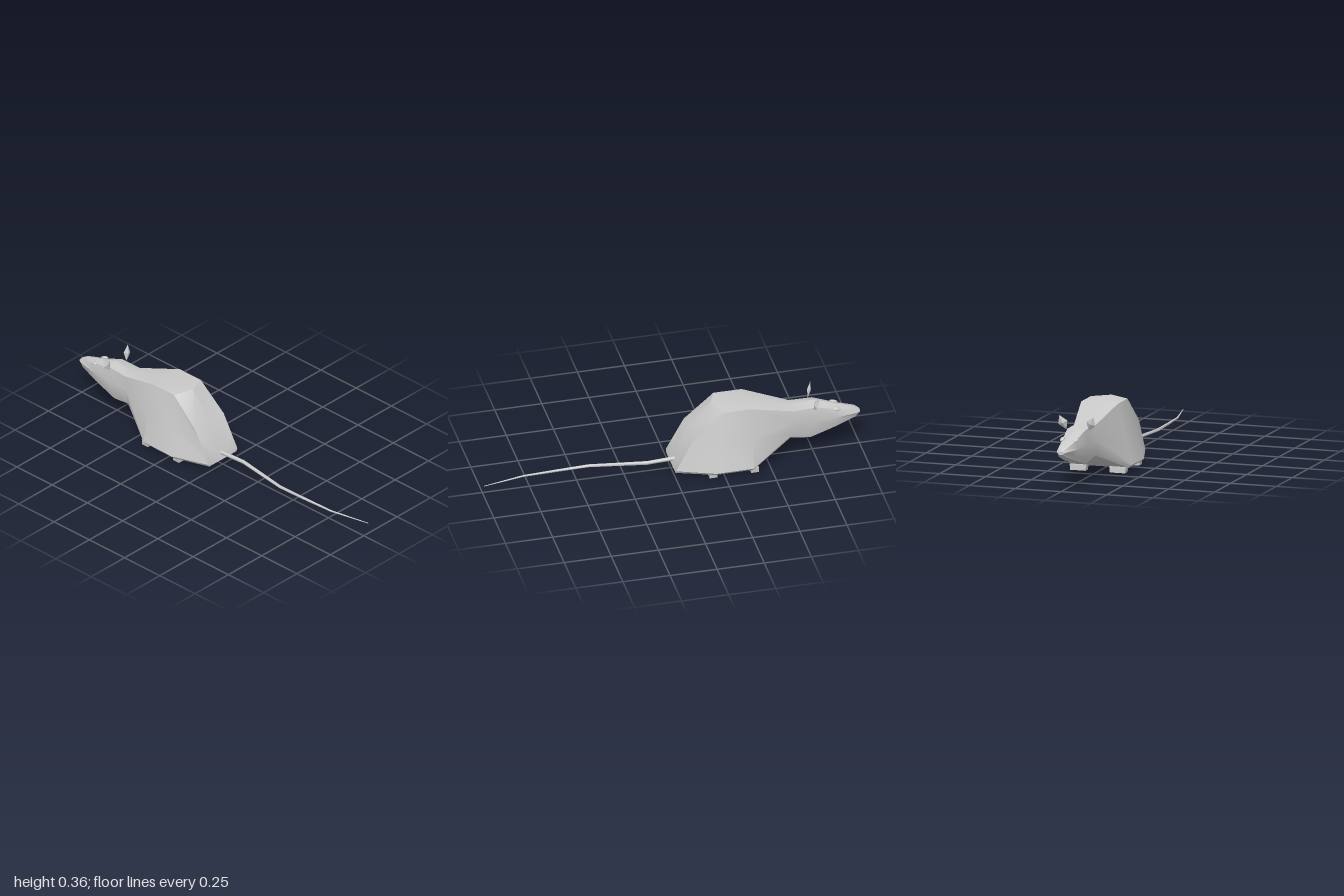
import * as THREE from 'three';
import { toCreasedNormals } from 'three/addons/utils/BufferGeometryUtils.js';

const material = new THREE.MeshStandardMaterial({ color: 0xcccccc });
const flatMaterial = new THREE.MeshStandardMaterial({ color: 0xcccccc, flatShading: true });

// Skin a series of closed rings of [x, y, z] points running along +x, with capped ends
function loft(rings, crease) {
  const pos = [];
  const tri = (a, b, c) => pos.push(...a, ...b, ...c);
  const n = rings[0].length;
  for (let i = 0; i < rings.length - 1; i++) {
    for (let j = 0; j < n; j++) {
      const k = (j + 1) % n;
      const [a, b, c, d] = [rings[i][j], rings[i][k], rings[i + 1][j], rings[i + 1][k]];
      tri(a, c, b);
      tri(b, c, d);
    }
  }
  const first = rings[0], last = rings[rings.length - 1];
  for (let j = 1; j < n - 1; j++) {
    tri(first[0], first[j], first[j + 1]);
    tri(last[0], last[j + 1], last[j]);
  }
  const g = new THREE.BufferGeometry();
  g.setAttribute('position', new THREE.Float32BufferAttribute(pos, 3));
  return toCreasedNormals(g, crease);
}

// Mirror a half profile (bottom centre, up the +z side, to top centre) into a full ring
function mirrorRing(half) {
  const other = half.slice(1, -1).reverse().map(([x, y, z]) => [x, y, -z]);
  return [...half, ...other];
}

// Body section: bottom x, y, half-width; side bulge; top corner x, y, half-width; top centre x, y
function section(xb, yb, wb, bulge, xc, yc, wc, xt, yt) {
  const lift = Math.min(0.015, (yc - yb) * 0.2);
  return mirrorRing([
    [xb, yb, 0],
    [xb, yb, wb * 0.92],
    [xb, yb + lift, wb],
    [(xb + xc) / 2, (yb + lift + yc) / 2, (wb + wc) / 2 + bulge],
    [xc, yc, wc],
    [xt, yt, 0],
  ]);
}

function add(group, name, geometry, mat = material) {
  const mesh = new THREE.Mesh(geometry, mat);
  mesh.name = name;
  group.add(mesh);
  return mesh;
}

export function createModel() {
  const model = new THREE.Group();
  model.name = 'rat';

  // Head and body in one skin, from nose to rump
  const body = [
    section(-1.0, 0.193, 0.012, 0.006, -1.0, 0.208, 0.012, -1.0, 0.212),
    section(-0.975, 0.178, 0.024, 0.01, -0.975, 0.222, 0.022, -0.975, 0.228),
    section(-0.87, 0.142, 0.036, 0.012, -0.87, 0.247, 0.038, -0.87, 0.262),
    section(-0.73, 0.1, 0.045, 0.017, -0.76, 0.283, 0.05, -0.755, 0.299),
    section(-0.62, 0.122, 0.06, 0.004, -0.64, 0.28, 0.056, -0.64, 0.288),
    section(-0.4, 0.024, 0.172, 0, -0.4, 0.357, 0.1, -0.4, 0.364),
    section(-0.2, 0.022, 0.172, 0, -0.25, 0.357, 0.1, -0.21, 0.364),
    section(0.0, 0.03, 0.11, 0, -0.095, 0.218, 0.108, -0.1, 0.23),
  ];
  add(model, 'body', loft(body, 0.55));

  // Tail: tapering, gently waved
  const tail = [
    [-0.03, 0.06, -0.008, 0.011], [0.0, 0.06, -0.01, 0.011], [0.13, 0.06, -0.019, 0.01],
    [0.43, 0.061, 0.025, 0.008], [0.6, 0.06, 0.02, 0.007], [0.78, 0.06, 0.012, 0.005],
    [1.0, 0.06, 0.035 * -1, 0.002],
  ].map(([x, y, z, r]) => Array.from({ length: 8 }, (_, j) => {
    const a = (j / 8) * Math.PI * 2;
    return [x, y - r * Math.cos(a), z + r * Math.sin(a)];
  }));
  add(model, 'tail', loft(tail, 0.9));

  for (const side of [1, -1]) {
    const label = side > 0 ? 'near' : 'far';

    // Ear: thin pointed kite leaning outward
    const ear = add(model, label + 'Ear', new THREE.OctahedronGeometry(1), flatMaterial);
    ear.scale.set(0.011, 0.043, 0.027);
    ear.position.set(-0.752, 0.314, side * 0.077);
    ear.rotation.set(side * 0.4, 0, 0.25);

    // Eye: flattened bead set on the brow
    const eye = add(model, label + 'Eye', new THREE.SphereGeometry(1, 12, 8));
    eye.scale.set(0.022, 0.008, 0.013);
    eye.position.set(-0.872, 0.25, side * 0.037);
    eye.rotation.set(side * 0.35, 0, 0.3);

    // Feet: low blocks tapering toward the ground
    for (const [name, x] of [['FrontFoot', -0.41], ['HindFoot', -0.19]]) {
      const g = new THREE.BoxGeometry(0.04, 0.03, 0.09);
      const p = g.attributes.position;
      for (let i = 0; i < p.count; i++) {
        if (p.getY(i) < 0) p.setZ(i, p.getZ(i) * 0.92);
      }
      const foot = add(model, label + name, g, flatMaterial);
      foot.position.set(x, 0.015, side * 0.108);
    }
  }
  return model;
}
